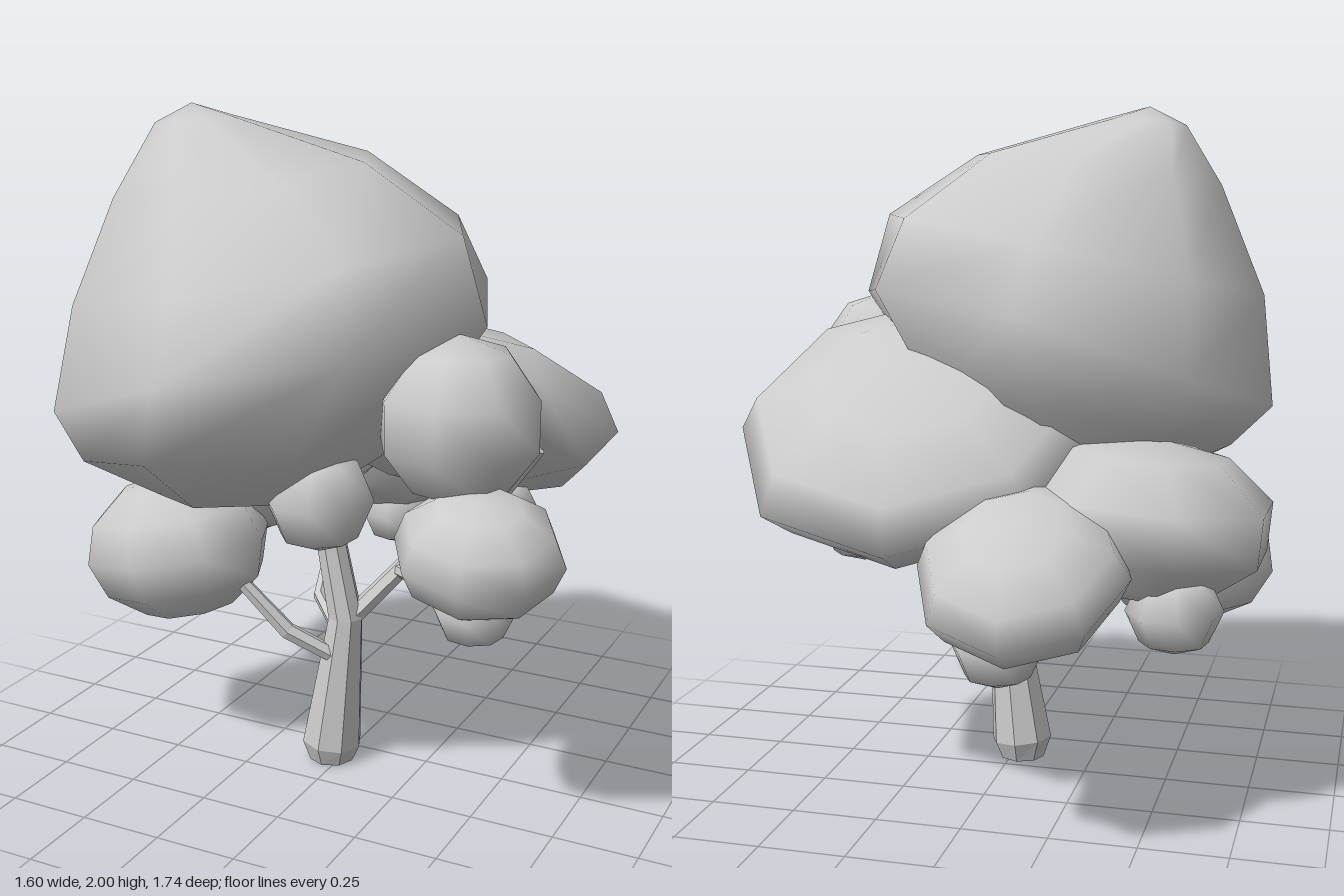
import * as THREE from 'three';
import { mergeVertices } from 'three/addons/utils/BufferGeometryUtils.js';

const V = (x, y, z) => new THREE.Vector3(x, y, z);
const leafMaterial = new THREE.MeshStandardMaterial({ color: 0xcccccc });
const barkMaterial = new THREE.MeshStandardMaterial({ color: 0xcccccc, flatShading: true });

// Skin a stack of closed rings (each an array of points), ordered bottom to top
function loft(rings) {
  const n = rings[0].length;
  const index = [];
  for (let i = 0; i < rings.length - 1; i++) {
    for (let j = 0; j < n; j++) {
      const k = (j + 1) % n;
      const a = i * n + j, b = i * n + k;
      index.push(a, a + n, b, b, a + n, b + n);
    }
  }
  let geometry = new THREE.BufferGeometry().setFromPoints(rings.flat());
  geometry.setIndex(index);
  geometry = mergeVertices(geometry, 1e-5);
  geometry.computeVertexNormals();
  return geometry;
}

function ring(sides, place) {
  return Array.from({ length: sides }, (_, j) => {
    const a = (j / sides) * Math.PI * 2;
    return place(Math.cos(a), Math.sin(a));
  });
}

// Tapered limb through [x, y, z, radius] points, closed at both ends
function limb(name, points, sides) {
  const centres = points.map(([x, y, z]) => V(x, y, z));
  const last = points.length - 1;
  const rings = points.map((p, i) => {
    const dir = centres[Math.min(i + 1, last)].clone().sub(centres[Math.max(i - 1, 0)]).normalize();
    const turn = new THREE.Quaternion().setFromUnitVectors(V(0, 1, 0), dir);
    return ring(sides, (c, s) => V(c * p[3], 0, s * p[3]).applyQuaternion(turn).add(centres[i]));
  });
  rings.unshift(ring(sides, () => centres[0].clone()));
  rings.push(ring(sides, () => centres[last].clone()));
  const mesh = new THREE.Mesh(loft(rings), barkMaterial);
  mesh.name = name;
  return mesh;
}

// Leaning crown: each ring is
// [left x, left y, right x, right y, centre z, z radius, lift of front and back, tilt down to the front]
function crown() {
  const rows = [
    [-0.24, 0.87, -0.24, 0.87, 0.2, 0, 0, 0],
    [-0.46, 0.9, 0.04, 0.93, 0.2, 0.37, 0.02, 0],
    [-0.65, 1.0, 0.27, 1.1, 0.2, 0.63, 0.11, 0.03],
    [-0.77, 1.12, 0.5, 1.44, 0.21, 0.66, 0.11, 0.045],
    [-0.735, 1.45, 0.43, 1.68, 0.22, 0.53, 0.02, 0.03],
    [-0.6, 1.77, 0.15, 1.86, 0.24, 0.35, -0.01, 0.03],
    [-0.49, 1.945, -0.26, 1.97, 0.25, 0.1, 0, 0],
    [-0.38, 2.0, -0.38, 2.0, 0.25, 0, 0, 0],
  ];
  const rings = rows.map(([lx, ly, rx, ry, z, rz, lift, tilt]) => ring(8, (c, s) => V(
    (lx + rx) / 2 + (c * (rx - lx)) / 2,
    (ly + ry) / 2 + (c * (ry - ly)) / 2 + lift * s * s - tilt * s,
    z + s * rz)));
  const mesh = new THREE.Mesh(loft(rings), leafMaterial);
  mesh.name = 'mainCrown';
  return mesh;
}

export function createModel() {
  const tree = new THREE.Group();
  tree.name = 'tree';

  // Trunk with a narrowed foot
  tree.add(limb('trunk', [
    [-0.03, 0, 0.095, 0.07], [-0.03, 0.06, 0.095, 0.094], [0.018, 0.48, 0.095, 0.054],
    [-0.03, 0.72, 0.095, 0.046], [-0.105, 0.96, 0.095, 0.036],
  ], 8));

  // Branches
  const branches = {
    leftFrontBranch: [[0, 0.36, 0.13, 0.025], [-0.13, 0.44, 0.19, 0.027], [-0.3, 0.64, 0.25, 0.02]],
    leftBackBranch: [[0, 0.4, 0.08, 0.022], [-0.15, 0.46, -0.06, 0.022], [-0.26, 0.71, -0.46, 0.017]],
    rightBranch: [[0.03, 0.47, 0.1, 0.03], [0.17, 0.64, -0.01, 0.028], [0.31, 0.91, -0.07, 0.021]],
    rightOuterBranch: [[0.16, 0.62, -0.01, 0.024], [0.34, 0.72, -0.015, 0.022], [0.58, 1.05, -0.015, 0.016]],
    rightFrontBranch: [[0.15, 0.62, 0, 0.022], [0.31, 0.66, 0.16, 0.022], [0.46, 0.79, 0.31, 0.018]],
  };
  for (const [name, points] of Object.entries(branches)) tree.add(limb(name, points, 6));

  // Foliage: name, shape, centre, radii, rotation
  tree.add(crown());
  const clump = new THREE.SphereGeometry(1, 8, 6);
  const boxyClump = new THREE.SphereGeometry(1, 8, 5);
  const tuft = new THREE.SphereGeometry(1, 8, 4);
  const foliage = [
    ['rightBackCrown', clump, [0.2, 1.085, -0.21], [0.54, 0.225, 0.53], [-0.56, 0.07, 0]],
    ['backCrown', clump, [-0.2, 0.775, -0.59], [0.29, 0.17, 0.31], [-0.5, 0, 0]],
    ['leftBackCrown', boxyClump, [-0.45, 0.855, -0.21], [0.395, 0.23, 0.395], [0, 0.39, 0.1]],
    ['leftFrontCrown', clump, [-0.49, 0.67, 0.22], [0.3, 0.225, 0.262], [0, 0, 0.2]],
    ['rightUpperCrown', boxyClump, [0.465, 1.205, 0.31], [0.233, 0.232, 0.228], [0, 0.1, 0]],
    ['rightLowerCrown', clump, [0.57, 0.88, 0.41], [0.235, 0.17, 0.21], [0.28, 0.1, -0.1]],
    ['middleTuft', tuft, [0.08, 0.95, 0.38], [0.155, 0.155, 0.155], [0, 0.3, 0]],
    ['rightFrontTuft', tuft, [0.555, 0.715, 0.4], [0.115, 0.105, 0.115], [0, 0.2, 0]],
    ['rightBackTuft', tuft, [0.36, 0.79, -0.25], [0.125, 0.1, 0.125], [0, 0.3, 0]],
    ['backTuft', tuft, [-0.14, 0.58, -0.62], [0.125, 0.118, 0.125], [0, 0.1, 0]],
    ['leftBackTuft', tuft, [-0.57, 0.635, -0.37], [0.135, 0.122, 0.135], [0, 0.2, 0]],
  ];
  for (const [name, shape, position, radii, rotation] of foliage) {
    const mesh = new THREE.Mesh(shape, leafMaterial);
    mesh.name = name;
    mesh.position.set(...position);
    mesh.scale.set(...radii);
    mesh.rotation.set(...rotation);
    tree.add(mesh);
  }
  return tree;
}
